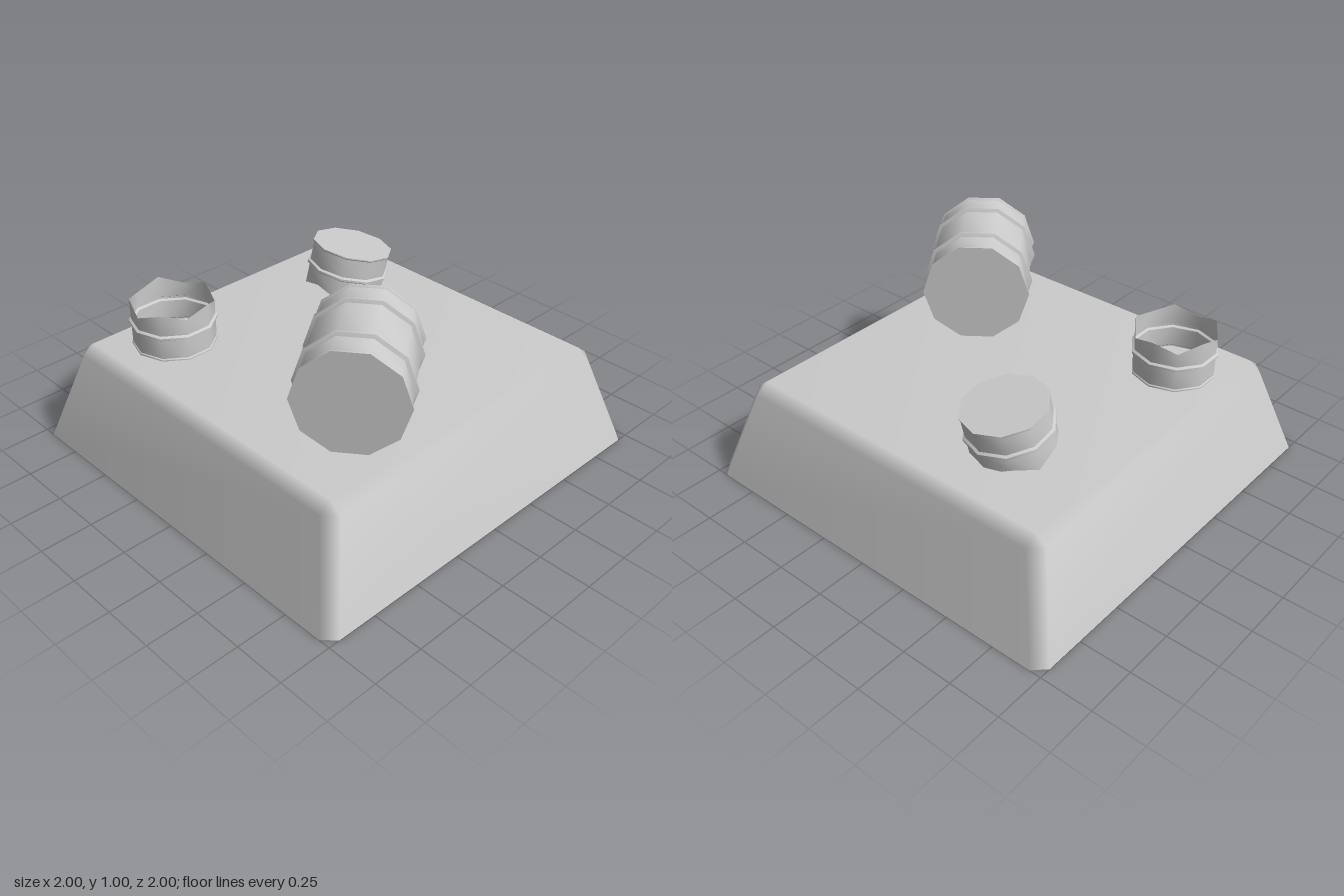
import * as THREE from 'three';
import { toCreasedNormals } from 'three/addons/utils/BufferGeometryUtils.js';

const SIDES = 10;
const material = new THREE.MeshStandardMaterial({ color: 0xcccccc, side: THREE.DoubleSide });

// Ten-sided turned part, smooth around and sharp along its ridges
function turned(name, profile, reshape) {
  const geometry = new THREE.LatheGeometry(profile.map(([r, y]) => new THREE.Vector2(r, y)), SIDES);
  if (reshape) reshape(geometry.attributes.position);
  const mesh = new THREE.Mesh(toCreasedNormals(geometry, 0.66), material);
  mesh.name = name;
  return mesh;
}

// Raised hoop around a wall of radius r at height y
const hoop = (r, y, bump) => [[r, y - 0.012], [r + bump, y - 0.005], [r + bump, y + 0.005], [r, y + 0.012]];

function wholeBarrel() {
  const r = 0.245, h = 0.273, rim = 0.253;
  return turned('wholeBarrel', [
    [0, -h], [rim, -h], [rim, 0.008 - h], [r, 0.014 - h],
    ...hoop(r, -0.135, 0.017), ...hoop(r, 0.135, 0.017),
    [r, h - 0.014], [rim, h - 0.008], [rim, h], [0, h],
  ]);
}

// Capped end of a barrel, torn off along a jagged edge
function brokenBarrel(name) {
  const r = 0.195;
  const torn = [0.235, 0.2, 0.24, 0.205, 0.235, 0.195, 0.235, 0.21, 0.24, 0.195];
  const profile = [[0, 0.002], [0.2, 0.002], [0.2, 0.008], [r, 0.013], ...hoop(r, 0.12, 0.012), [r, 0.22]];
  return turned(name, profile, (pos) => {
    for (let i = 0; i <= SIDES; i++) pos.setY((i + 1) * profile.length - 1, torn[i % SIDES]);
  });
}

// Hollow sloped plinth with chamfered corners and a bevelled top edge
function plinth() {
  const ring = (a, b, y) => [
    [-b, y, a], [b, y, a], [a, y, b], [a, y, -b],
    [b, y, -a], [-b, y, -a], [-a, y, -b], [-a, y, b],
  ];
  const t = 0.8;
  const points = [
    ...ring(1, 0.943, 0), ...ring(0.86, t, 0.455),
    [-t, 0.5, t], [t, 0.5, t], [t, 0.5, -t], [-t, 0.5, -t],
  ];
  const corner = (i) => 16 + (Math.floor((i + 1) / 2) % 4);
  const index = [16, 17, 18, 16, 18, 19];
  for (let i = 0; i < 8; i++) {
    const j = (i + 1) % 8;
    index.push(i, j, 8 + j, i, 8 + j, 8 + i);
    index.push(8 + i, 8 + j, corner(j));
    if (corner(i) !== corner(j)) index.push(8 + i, corner(j), corner(i));
  }
  const geometry = new THREE.BufferGeometry();
  geometry.setAttribute('position', new THREE.Float32BufferAttribute(points.flat(), 3));
  geometry.setIndex(index);
  geometry.computeVertexNormals();
  const mesh = new THREE.Mesh(geometry, material);
  mesh.name = 'plinth';
  return mesh;
}

export function createModel() {
  const group = new THREE.Group();
  group.name = 'barrelsOnPlinth';
  group.add(plinth());

  // Whole barrel lying on its side
  const lying = wholeBarrel();
  lying.rotation.set(0, 0.649, -Math.PI / 2, 'YXZ');
  lying.position.set(-0.33, 0.75, 0.485);
  group.add(lying);

  // Broken half standing on its cap
  const standing = brokenBarrel('standingBrokenBarrel');
  standing.rotation.y = Math.PI / 2;
  standing.position.set(-0.505, 0.5, -0.56);
  group.add(standing);

  // Broken half upside down, leaning on its torn edge
  const leaning = brokenBarrel('leaningBrokenBarrel');
  const up = new THREE.Vector3(0, 1, 0);
  const lean = new THREE.Vector3(0.2, 1, 0.08).normalize();
  leaning.quaternion.setFromUnitVectors(up, lean)
    .multiply(new THREE.Quaternion().setFromEuler(new THREE.Euler(Math.PI, Math.PI / 2, 0)));
  leaning.position.set(0.475, 0.732, -0.365);
  group.add(leaning);

  return group;
}
